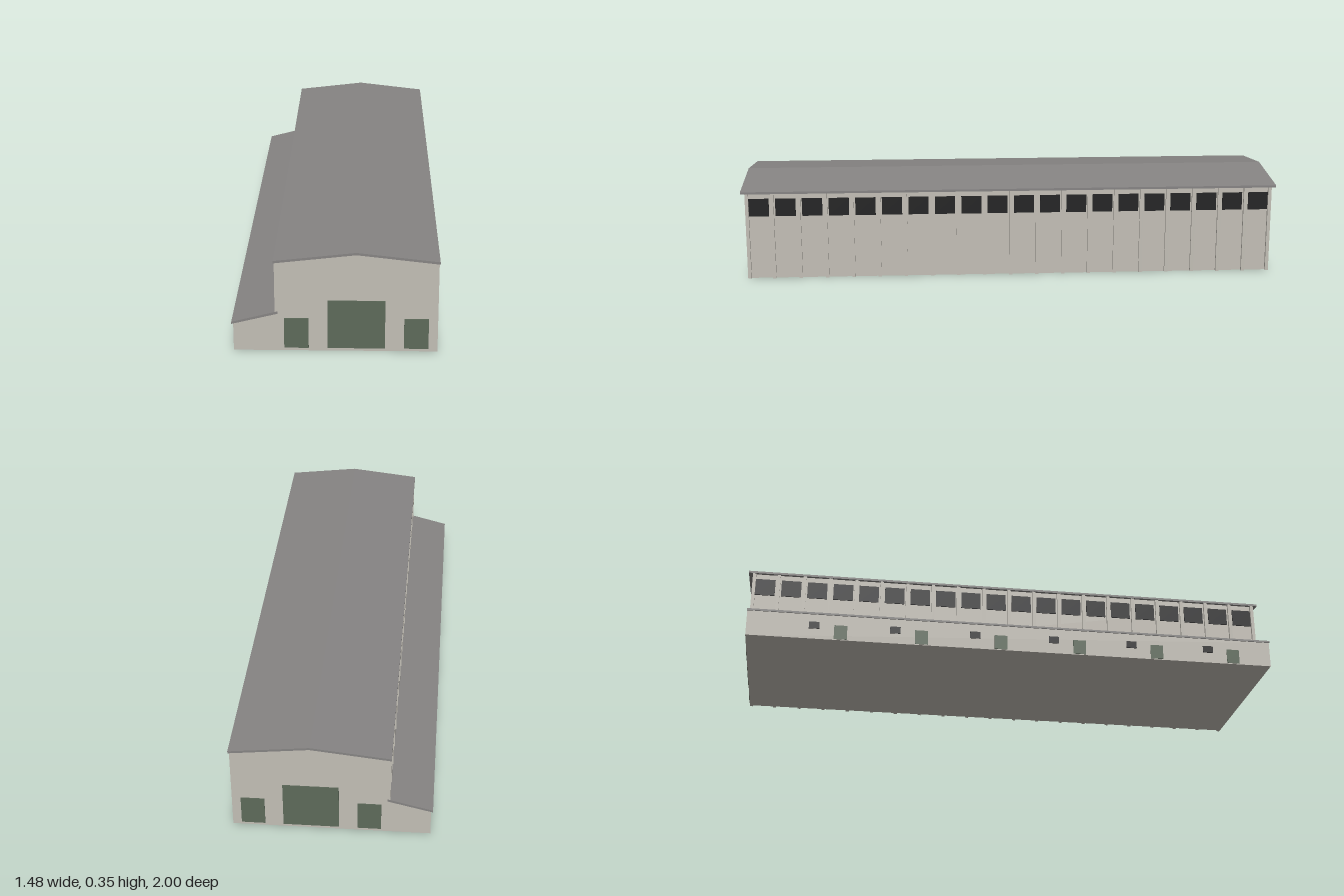
import * as THREE from 'three';

const wallMat = new THREE.MeshStandardMaterial({ name: 'concrete wall', color: 0xc2beb5 });
const roofMat = new THREE.MeshStandardMaterial({ name: 'grey roof', color: 0x868483 });
const doorMat = new THREE.MeshStandardMaterial({ name: 'green door', color: 0x5d6a5a });
const glassMat = new THREE.MeshStandardMaterial({ name: 'dark glass', color: 0x232324 });

const HALF = 0.947;        // half length of the walls
const MID = 0.062;         // x of the ridge
const WALL = 0.252;        // half width of the hall
const EAVE = 0.264;        // half width of the main roof
const LEAN = -0.334;       // x of the annex outer wall
const BAYS = 20;
const PITCH = (2 * HALF) / BAYS;

export function createModel() {
  const hall = new THREE.Group();
  hall.name = 'hall';

  // Prism with the given cross-section, running along z
  function prism(name, points, halfLength, mat) {
    const shape = new THREE.Shape(points.map(([x, y]) => new THREE.Vector2(x, y)));
    const geo = new THREE.ExtrudeGeometry(shape, { depth: 2 * halfLength, bevelEnabled: false });
    geo.translate(0, 0, -halfLength);
    const mesh = new THREE.Mesh(geo, mat);
    mesh.name = name;
    hall.add(mesh);
  }

  // Box given by its size, base height and centre
  function box(name, w, h, d, x, y, z, mat) {
    const mesh = new THREE.Mesh(new THREE.BoxGeometry(w, h, d), mat);
    mesh.name = name;
    mesh.position.set(x, y + h / 2, z);
    hall.add(mesh);
  }

  // Main body and its low gable roof
  prism('mainWalls', [
    [MID - WALL, 0], [MID + WALL, 0], [MID + WALL, 0.313], [MID, 0.342], [MID - WALL, 0.313],
  ], HALF, wallMat);
  prism('mainRoof', [
    [MID - EAVE, 0.312], [MID, 0.342], [MID + EAVE, 0.312],
    [MID + EAVE, 0.32], [MID, 0.35], [MID - EAVE, 0.32],
  ], 0.962, roofMat);

  // Lean-to annex along one side
  prism('annexWalls', [
    [LEAN, 0], [MID - WALL, 0], [MID - WALL, 0.13], [LEAN, 0.094],
  ], HALF, wallMat);
  prism('annexRoof', [
    [-0.34, 0.0925], [MID - WALL, 0.13], [MID - WALL, 0.1385], [-0.34, 0.1],
  ], HALF + 0.0005, roofMat);

  // Pilasters and high windows on both long sides
  for (const side of [-1, 1]) {
    const x = MID + side * WALL;
    const base = side < 0 ? 0.125 : 0;
    for (let i = 0; i <= BAYS; i++) {
      const z = THREE.MathUtils.clamp(-HALF + i * PITCH, -HALF + 0.006, HALF - 0.006);
      box('pilaster', 0.01, 0.312 - base, 0.012, x + side * 0.005, base, z, wallMat);
      if (i < BAYS) {
        box('hallWindow', 0.004, 0.064, 0.072, x + side * 0.001, 0.229, -HALF + (i + 0.5) * PITCH, glassMat);
      }
    }
  }

  // One large and two small gates on each gable
  for (const end of [-1, 1]) {
    const z = end * (HALF + 0.0005);
    box('mainGate', 0.185, 0.168, 0.004, MID, 0.01, z, doorMat);
    for (const side of [-1, 1]) {
      box('sideGate', 0.079, 0.105, 0.004, MID + side * 0.193, 0.01, z, doorMat);
    }
  }

  // Small window and door pairs on the annex
  for (let i = 0; i < 6; i++) {
    const z = -0.712 + i * 0.285;
    box('annexWindow', 0.004, 0.026, 0.037, LEAN - 0.0005, 0.039, z, glassMat);
    box('annexDoor', 0.004, 0.053, 0.046, LEAN - 0.0005, 0.003, z + 0.093, doorMat);
  }

  // The building stands at an angle to the axes
  const turn = 0.487;
  hall.rotation.y = -turn;
  hall.position.set(0.0035 * Math.sin(turn), 0, -0.0035 * Math.cos(turn));

  const model = new THREE.Group();
  model.name = 'industrialHall';
  model.add(hall);
  return model;
}
